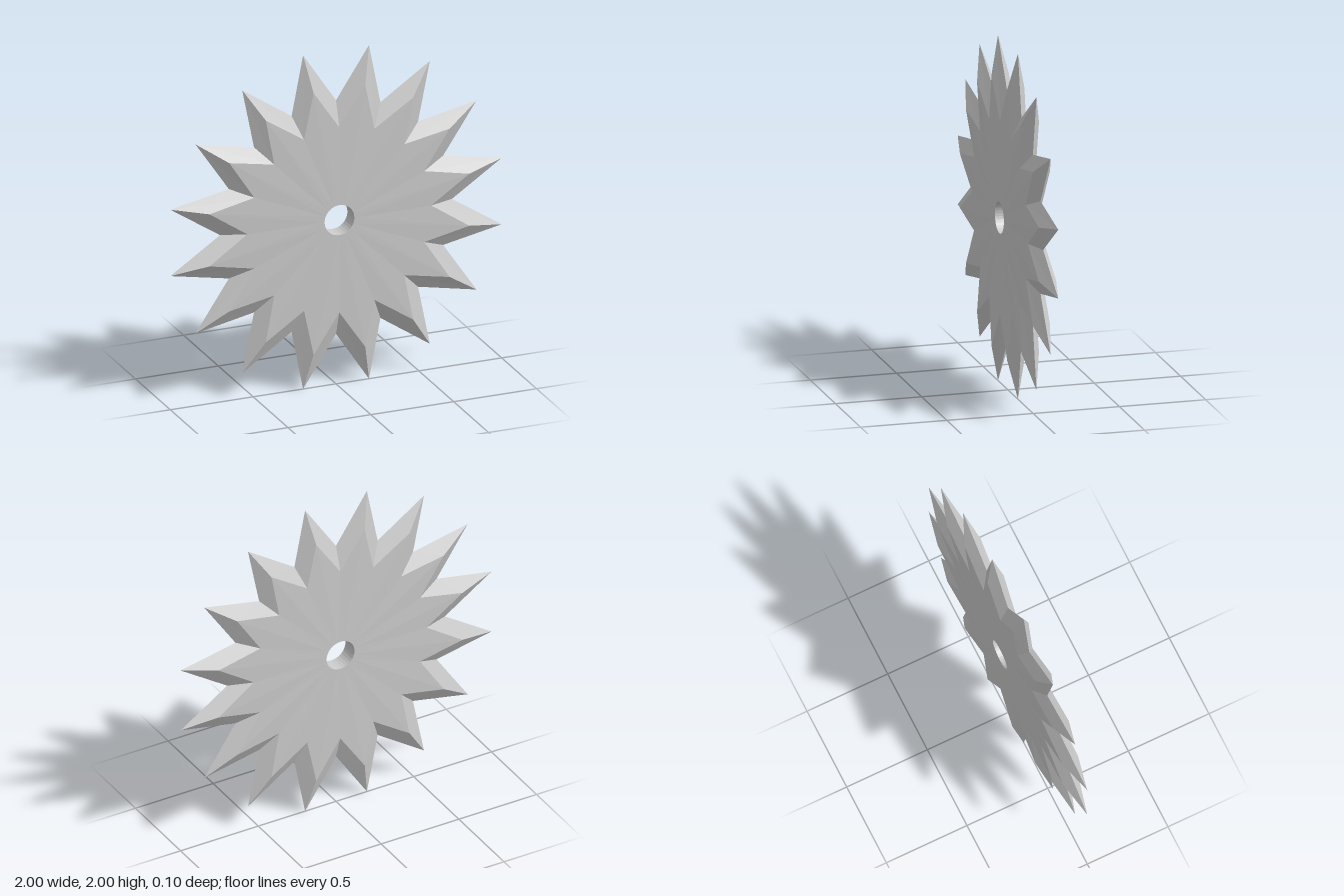
import * as THREE from 'three';

const POINTS = 16;
const STEPS = POINTS * 2;

// Rings of the cross-section, swept around the axle hole:
// [radius at valley, z at valley, radius at tip, z at tip]
const RINGS = [
  [0.09, 0.05, 0.09, 0.05],      // hole edge, front
  [0.555, 0.047, 0.80, 0.05],    // bevel edge, front
  [0.70, 0, 1.0196, 0],          // sharp outer rim
  [0.555, -0.047, 0.80, -0.05],  // bevel edge, back
  [0.09, -0.05, 0.09, -0.05],    // hole edge, back
];

function starGeometry() {
  const positions = [];
  const index = [];
  for (const [valleyR, valleyZ, tipR, tipZ] of RINGS) {
    for (let i = 0; i < STEPS; i++) {
      const a = (i / STEPS) * Math.PI * 2;
      const r = i % 2 ? tipR : valleyR;
      positions.push(r * Math.cos(a), r * Math.sin(a), i % 2 ? tipZ : valleyZ);
    }
  }
  // Join each ring to the next; the last one closes back through the hole
  for (let k = 0; k < RINGS.length; k++) {
    const from = k * STEPS;
    const to = ((k + 1) % RINGS.length) * STEPS;
    for (let i = 0; i < STEPS; i++) {
      const j = (i + 1) % STEPS;
      const a = from + i, b = to + i, c = to + j, d = from + j;
      // Alternate the diagonal so both halves of a spike mirror each other
      if (i % 2) index.push(a, b, d, b, c, d);
      else index.push(a, b, c, a, c, d);
    }
  }
  const geometry = new THREE.BufferGeometry();
  geometry.setAttribute('position', new THREE.Float32BufferAttribute(positions, 3));
  geometry.setIndex(index);
  const flat = geometry.toNonIndexed();
  flat.computeVertexNormals();
  return flat;
}

export function createModel() {
  const group = new THREE.Group();
  group.name = 'throwingStar';
  const material = new THREE.MeshStandardMaterial({ color: 0xcccccc, flatShading: true });

  // Bevelled sixteen-point blade with a round centre hole
  const blade = new THREE.Mesh(starGeometry(), material);
  blade.name = 'starBlade';
  blade.position.y = 1;
  group.add(blade);
  return group;
}
